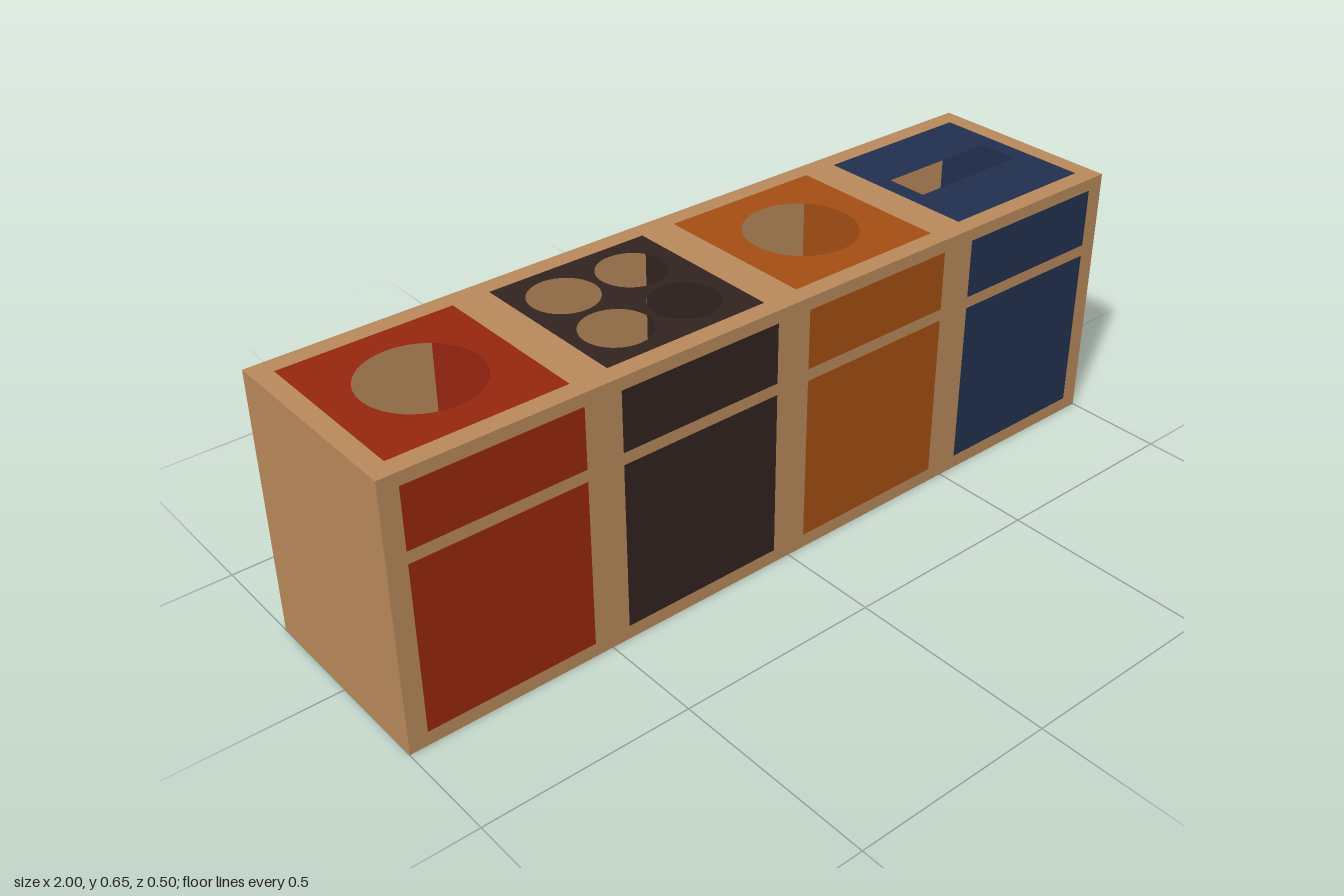
import * as THREE from 'three';

const W = 2, H = 0.65, D = 0.5, T = 0.004;

const paint = (color) => new THREE.MeshStandardMaterial({ color, side: THREE.DoubleSide });

function add(parent, name, geometry, material, x = 0, y = 0, z = 0) {
  const mesh = new THREE.Mesh(geometry, material);
  mesh.name = name;
  mesh.position.set(x, y, z);
  parent.add(mesh);
  return mesh;
}

// Rectangle outline centred on (x, y)
function rect(x, y, w, h, Type = THREE.Shape) {
  return new Type([[-1, -1], [1, -1], [1, 1], [-1, 1]]
    .map(([a, b]) => new THREE.Vector2(x + a * w / 2, y + b * h / 2)));
}

function disc(x, y, r) {
  return new THREE.Path().absarc(x, y, r, 0, Math.PI * 2, true);
}

// Flat sheet lying on the top of the block
function topSheet(parent, name, shape, material) {
  const geometry = new THREE.ShapeGeometry(shape, 32).rotateX(-Math.PI / 2);
  return add(parent, name, geometry, material, 0, H, 0);
}

export function createModel() {
  const model = new THREE.Group();
  model.name = 'kitchenUnits';
  const wood = paint(0xb8895a);

  const burners = [];
  for (const x of [-0.345, -0.165]) for (const z of [-0.09, 0.09]) burners.push(disc(x, z, 0.08));

  // Units from the model's right to its left; inner = positions of the cavity side walls
  const units = [
    { name: 'redUnit', color: 0x96260f, x: -0.75, inner: [-0.93, -0.58], holes: [disc(-0.75, 0, 0.133)] },
    { name: 'hobUnit', color: 0x32231f, x: -0.25, inner: [-0.46, -0.005], holes: burners },
    { name: 'orangeUnit', color: 0xa34d12, x: 0.25, inner: [0.07, 0.49], holes: [disc(0.247, 0, 0.133)] },
    { name: 'blueUnit', color: 0x22304f, x: 0.75, inner: [0.515, 0.985], holes: [rect(0.75, 0, 0.325, 0.106, THREE.Path)] },
  ];

  // Hollow wooden case
  add(model, 'base', new THREE.BoxGeometry(W, T, D), wood, 0, T / 2, 0);
  for (const s of [-1, 1]) {
    add(model, s > 0 ? 'frontWall' : 'backWall',
      new THREE.BoxGeometry(W, H, T), wood, 0, H / 2, s * (D - T) / 2);
    add(model, s > 0 ? 'leftWall' : 'rightWall',
      new THREE.BoxGeometry(T, H, D), wood, s * (W - T) / 2, H / 2, 0);
  }

  // Wooden top frame with an opening for each coloured worktop
  const frame = rect(0, 0, W, D);
  for (const u of units) frame.holes.push(rect(u.x, 0, 0.41, 0.41, THREE.Path));
  topSheet(model, 'topFrame', frame, wood);

  for (const u of units) {
    const group = new THREE.Group();
    group.name = u.name;
    model.add(group);
    const material = paint(u.color);

    // Worktop with its cut-outs
    const worktop = rect(u.x, 0, 0.41, 0.41);
    worktop.holes.push(...u.holes);
    topSheet(group, 'worktop', worktop, material);

    // Door and drawer on the front
    add(group, 'door', new THREE.BoxGeometry(0.41, 0.41, 0.002), material, u.x, 0.24, D / 2);
    add(group, 'drawer', new THREE.BoxGeometry(0.41, 0.145, 0.002), material, u.x, 0.547, D / 2);

    // Coloured side walls of the cavity
    for (const x of u.inner) {
      const panel = new THREE.PlaneGeometry(D - 2 * T, H - 2 * T).rotateY(Math.PI / 2);
      add(group, 'cavitySide', panel, material, x, H / 2, 0);
    }
  }
  return model;
}
